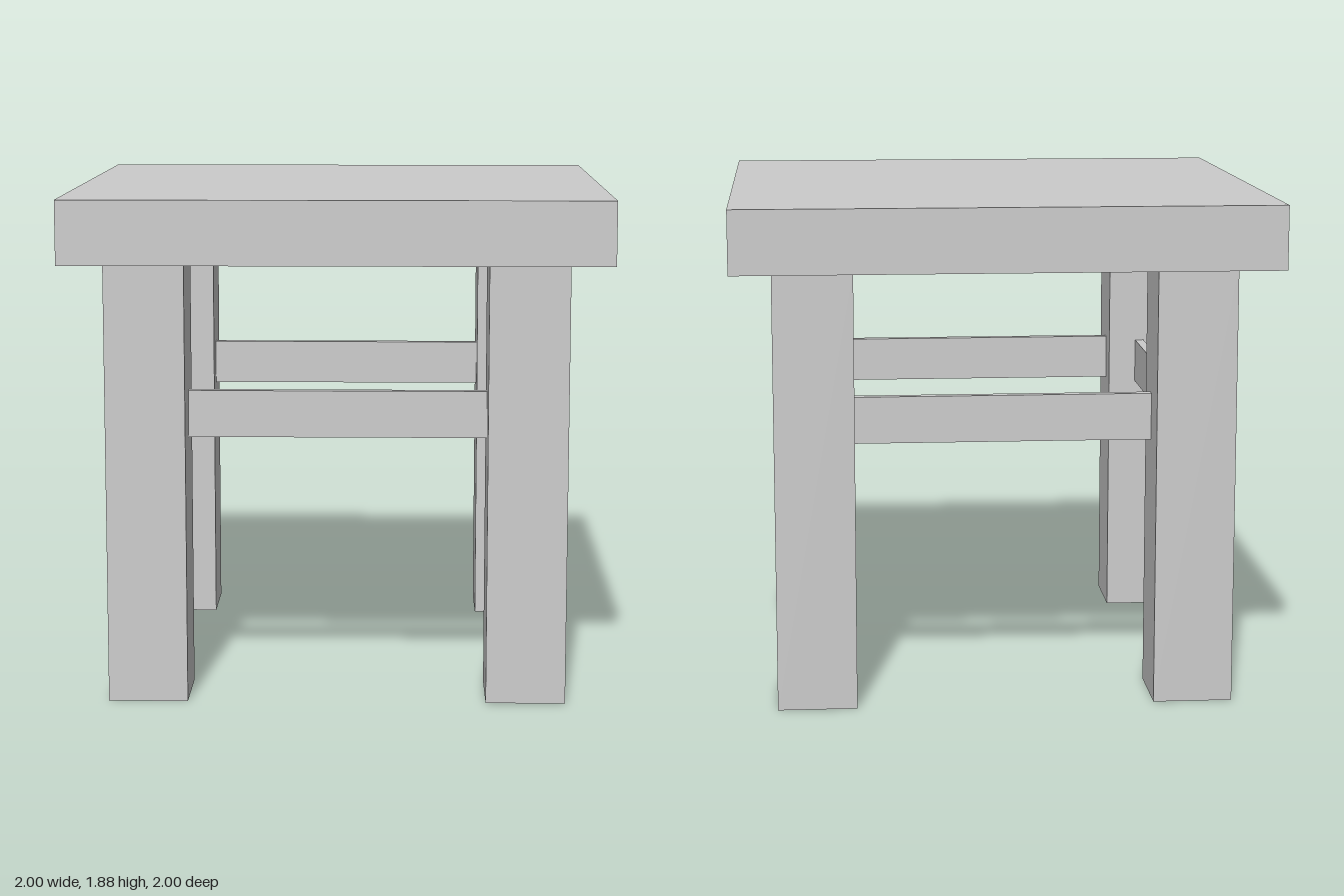
import * as THREE from 'three';

export function createModel() {
  const group = new THREE.Group();
  const material = new THREE.MeshStandardMaterial({ color: 0xcccccc, flatShading: true });

  const addBox = (parent, name, size, position) => {
    const mesh = new THREE.Mesh(new THREE.BoxGeometry(...size), material);
    mesh.name = name;
    mesh.position.set(...position);
    parent.add(mesh);
  };

  const legHeight = 1.645, legWidth = 0.295, legCentre = 0.7025;
  const seatHeight = 0.235;
  const railLength = 2 * legCentre - legWidth;
  const railHeight = 0.175, railThickness = 0.035, railY = 1.0625;
  const railOffset = 0.682; // outer face lies on the leg centre line

  // Seat slab
  addBox(group, 'seat', [2, seatHeight, 2], [0, legHeight + seatHeight / 2, 0]);

  // One leg and one rail per side, turned around the centre
  ['front', 'left', 'back', 'right'].forEach((side, i) => {
    const quarter = new THREE.Group();
    quarter.name = `${side}Side`;
    quarter.rotation.y = (i * Math.PI) / 2;
    addBox(quarter, `${side}Leg`, [legWidth, legHeight, legWidth], [legCentre, legHeight / 2, legCentre]);
    addBox(quarter, `${side}Rail`, [railLength, railHeight, railThickness], [0, railY, railOffset]);
    group.add(quarter);
  });

  return group;
}
